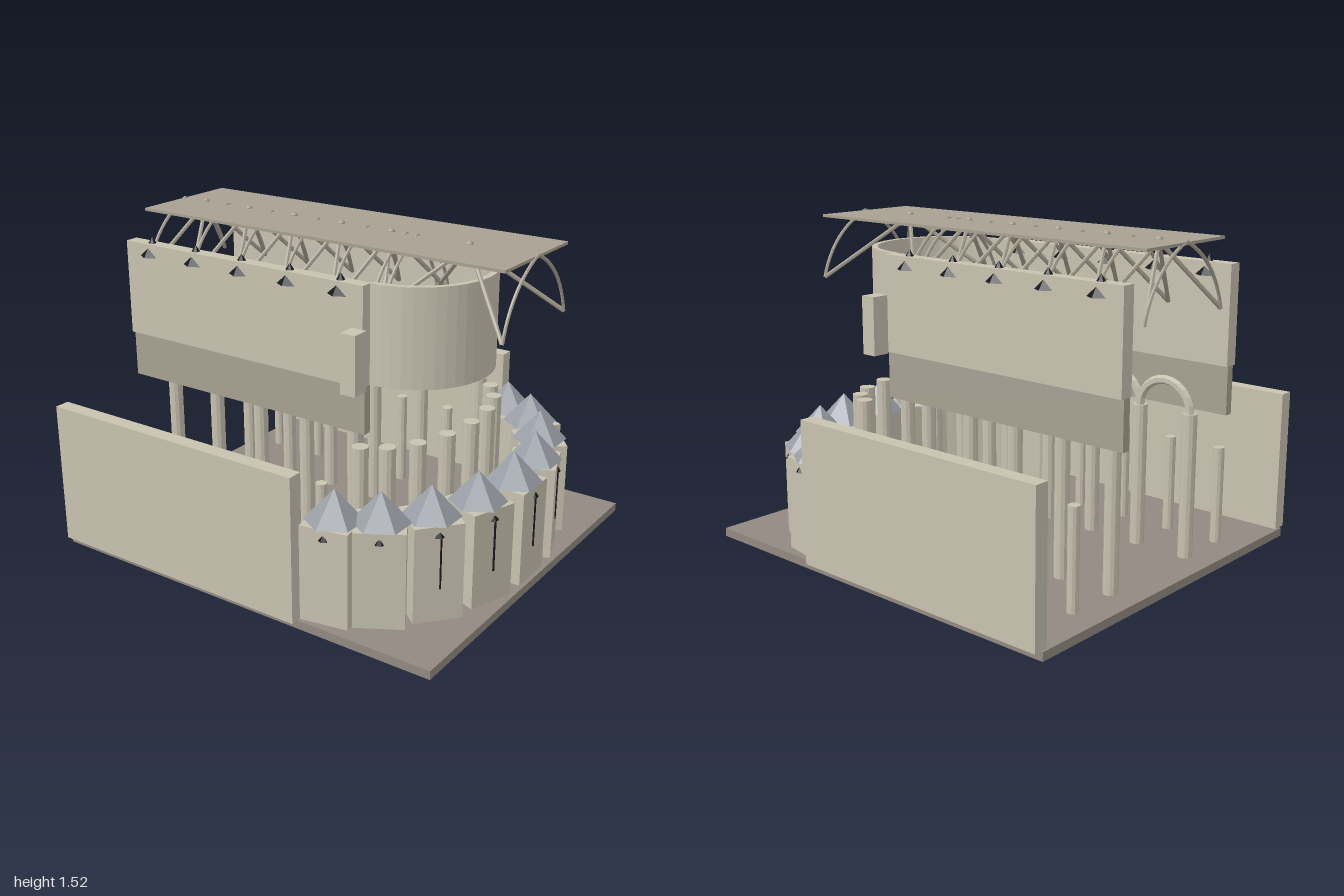
import * as THREE from 'three';

const mat = (color, extra = {}) => {
  const m = new THREE.MeshStandardMaterial({ flatShading: true, ...extra });
  m.color.set(color);
  return m;
};

export function createModel() {
  const root = new THREE.Group();
  const stone = mat(0xc8c2b0), dark = mat(0xa8a192), floor = mat(0x928a81);
  const slate = mat(0x979ca4), black = mat(0x16181a);
  const drumStone = mat(0xc8c2b0, { side: THREE.DoubleSide });

  const add = (name, geo, material, x = 0, y = 0, z = 0) => {
    const m = new THREE.Mesh(geo, material);
    m.name = name;
    m.position.set(x, y, z);
    root.add(m);
    return m;
  };
  // box given by its lower and upper corners
  const block = (name, material, x0, x1, y0, y1, z0, z1) =>
    add(name, new THREE.BoxGeometry(x1 - x0, y1 - y0, z1 - z0), material,
      (x0 + x1) / 2, (y0 + y1) / 2, (z0 + z1) / 2);
  const column = (name, x, z, r, top) =>
    add(name, new THREE.CylinderGeometry(r, r, top - 0.04, 12), stone, x, (top + 0.04) / 2, z);
  const cone = (name, material, r, h, x, y, z) =>
    add(name, new THREE.ConeGeometry(r, h, 6), material, x, y + h / 2, z);
  const v = (x, y, z) => new THREE.Vector3(x, y, z);
  const rib = (name, curve, r, n) => add(name, new THREE.TubeGeometry(curve, n, r, 6), dark);

  const west = -0.99, east = 0.35, bay = 0.268;
  const bays = [0, 1, 2, 3, 4].map(i => west + bay * (i + 0.5));

  // floor slab
  block('floorSlab', floor, -1, 1, 0, 0.04, -0.895, 0.895);

  // nave and aisles, mirrored about the long axis
  for (const s of [1, -1]) {
    const wall = (name, m, x0, x1, y0, y1, za, zb) =>
      block(name, m, x0, x1, y0, y1, Math.min(s * za, s * zb), Math.max(s * za, s * zb));
    wall('aisleWall', stone, west, east, 0.04, 0.71, 0.86, 0.93);
    wall('triforium', dark, west, east, 0.71, 0.93, 0.36, 0.4);
    wall('clerestoryWall', stone, west, east, 0.93, 1.38, 0.352, 0.417);
    wall('buttress', stone, 0.31, 0.385, 0.93, 1.2, 0.44, 0.525);
    bays.forEach((x, i) => {
      column('naveColumn', x, s * 0.28, 0.034, 0.71);
      column('aisleColumn', x, s * 0.535, 0.026, 0.5);
      cone('clerestoryWindowHead', black, 0.06, 0.09, x, 1.32, s * 0.385);
      if (i < 4) add('arcadeArch', new THREE.TorusGeometry(bay / 2, 0.021, 6, 12, Math.PI),
        stone, x + bay / 2, 0.71, s * 0.28);
    });
  }

  // curved apse wall
  const ring = [[0.335, 0.93], [0.363, 0.93], [0.363, 1.38], [0.335, 1.38], [0.335, 0.93]]
    .map(p => new THREE.Vector2(...p));
  add('apseWall', new THREE.LatheGeometry(ring, 24, 0, Math.PI), drumStone, east);

  // ring of apse columns and radiating chapels
  for (let deg = -80; deg <= 80; deg += 20) {
    const a = deg * Math.PI / 180, c = Math.cos(a), s = Math.sin(a);
    column('apseColumn', east + 0.3 * c, 0.518 * s, 0.037, 0.71);
    const x = east + 0.52 * c, z = 0.763 * s;
    block('chapel', stone, x - 0.11, x + 0.11, 0.04, 0.48, z - 0.11, z + 0.11).rotation.y = -a;
    cone('chapelSpire', slate, 0.13, 0.14, x, 0.48, z);
    const wx = x + 0.1 * c, wz = z + 0.1 * s;
    cone('chapelWindowHead', black, 0.025, 0.04, wx, 0.43, wz);
    if (Math.abs(deg) < 50)
      block('chapelWindow', black, wx - 0.015, wx + 0.015, 0.19, 0.43, wz - 0.004, wz + 0.004);
  }

  // flat vault covering
  block('vaultCovering', dark, -0.995, 0.93, 1.495, 1.508, -0.28, 0.28);

  // rib vaults: diagonal ribs with a boss, and curved transverse ribs
  const vault = (x, half) => {
    add('vaultBoss', new THREE.SphereGeometry(0.018, 10, 8), dark, x, 1.506, 0);
    for (const sx of [1, -1]) for (const sz of [1, -1])
      rib('diagonalRib', new THREE.LineCurve3(v(x + sx * half, 1.2, sz * 0.28), v(x, 1.5, 0)), 0.01, 1);
  };
  const transverse = x => {
    for (const s of [1, -1])
      rib('transverseRib', new THREE.QuadraticBezierCurve3(
        v(x, 1.2, s * 0.28), v(x, 1.42, s * 0.22), v(x, 1.51, 0)), 0.008, 12);
  };
  bays.forEach(x => vault(x, bay / 2));
  for (let i = 0; i <= 5; i++) transverse(west + bay * i);
  vault(0.61, 0.32);
  transverse(0.29);
  transverse(0.93);

  return root;
}
